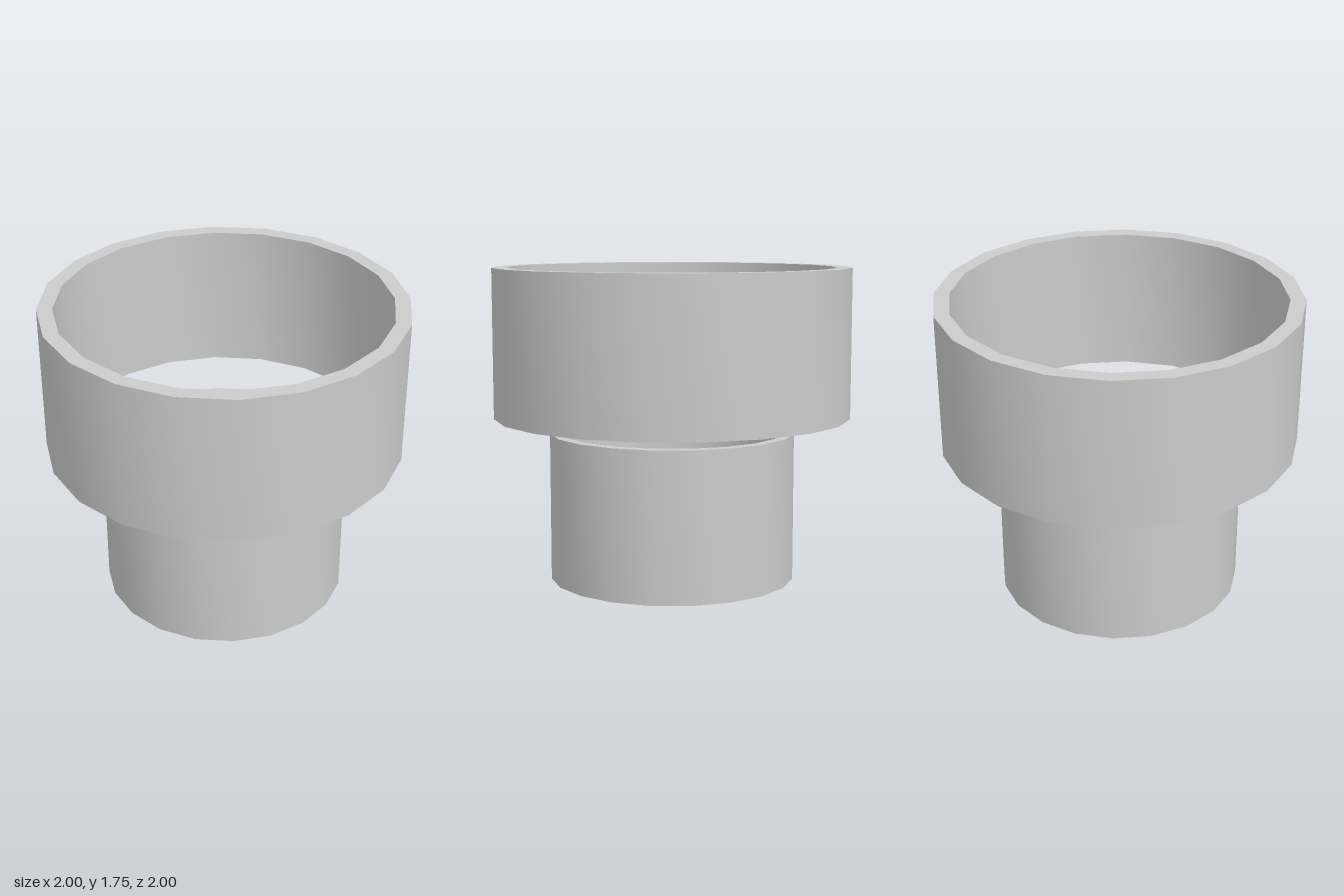
import * as THREE from 'three';
import { toCreasedNormals } from 'three/addons/utils/BufferGeometryUtils.js';

const SIDES = 20;

// Open tube with wall thickness: smooth walls, sharp rims
function ring(name, outer, inner, bottom, top, material) {
  const profile = [
    [outer, bottom], [outer, top], [inner, top], [inner, bottom], [outer, bottom],
  ].map(([r, y]) => new THREE.Vector2(r, y));
  const geometry = toCreasedNormals(new THREE.LatheGeometry(profile, SIDES), Math.PI / 5);
  const mesh = new THREE.Mesh(geometry, material);
  mesh.name = name;
  return mesh;
}

export function createModel() {
  const model = new THREE.Group();
  model.name = 'stackedRings';
  const material = new THREE.MeshStandardMaterial({ color: 0xcccccc });

  // Narrow ring on the ground, wide ring floating just above it
  model.add(ring('lowerRing', 0.69, 0.63, 0, 0.83, material));
  model.add(ring('upperRing', 1, 0.915, 0.92, 1.755, material));
  return model;
}
